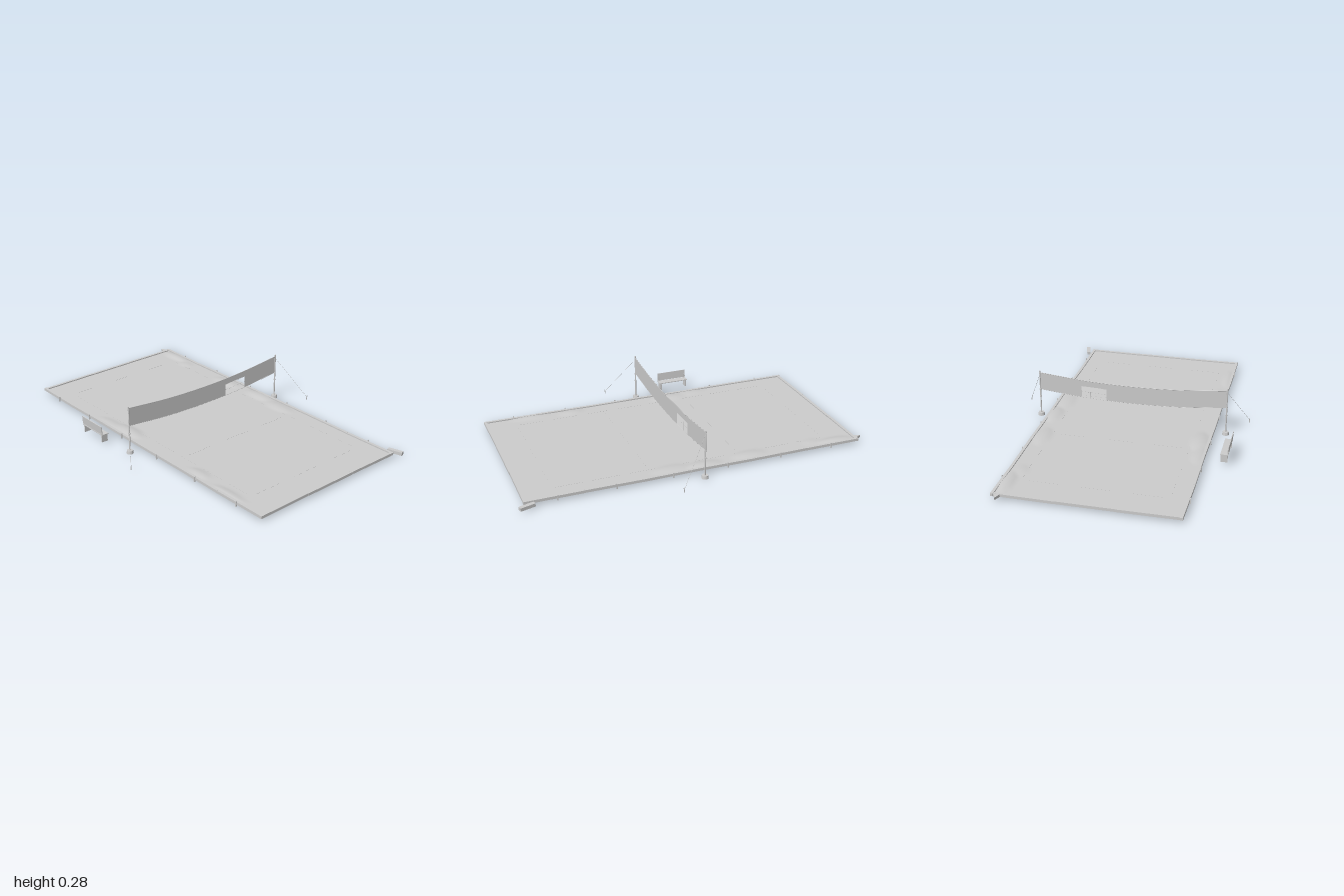
import * as THREE from 'three';

const mat = new THREE.MeshStandardMaterial({ color: 0xcccccc, flatShading: true });
const thin = new THREE.MeshStandardMaterial({ color: 0xcccccc, side: THREE.DoubleSide });
const smooth = new THREE.MeshStandardMaterial({ color: 0xcccccc });

export function createModel() {
  const model = new THREE.Group();

  const add = (name, geo, x = 0, y = 0, z = 0, m = mat, parent = model) => {
    const mesh = new THREE.Mesh(geo, m);
    mesh.name = name;
    mesh.position.set(x, y, z);
    parent.add(mesh);
    return mesh;
  };
  const box = (name, w, h, d, x, y, z, parent) =>
    add(name, new THREE.BoxGeometry(w, h, d), x, y, z, mat, parent);
  const rod = (name, a, b, r, sides = 4) => {
    const curve = new THREE.LineCurve3(new THREE.Vector3(...a), new THREE.Vector3(...b));
    return add(name, new THREE.TubeGeometry(curve, 1, r, sides), 0, 0, 0, thin);
  };

  // Sand bed with drifts along the long edges: x, z, half length, half width, height
  const drifts = [
    [-0.83, -0.45, 0.12, 0.04, 0.010], [-0.70, -0.42, 0.06, 0.04, 0.004],
    [-0.31, -0.43, 0.11, 0.05, 0.008], [-0.03, -0.45, 0.11, 0.05, 0.010],
    [0.15, -0.43, 0.12, 0.05, 0.007], [-0.17, 0.43, 0.12, 0.05, 0.010],
    [-0.32, 0.45, 0.11, 0.04, 0.006], [0.45, 0.44, 0.08, 0.04, 0.007],
    [0.70, 0.46, 0.13, 0.03, 0.007],
  ];
  const sand = new THREE.BoxGeometry(1.91, 0.009, 0.965, 96, 1, 64);
  const pos = sand.attributes.position;
  for (let i = 0; i < pos.count; i++) {
    if (pos.getY(i) < 0) continue;
    let lift = 0;
    for (const [x, z, a, b, h] of drifts) {
      const d = Math.hypot((pos.getX(i) - x) / a, (pos.getZ(i) - z) / b);
      if (d < 1) lift = Math.max(lift, h * (1 - d * d));
    }
    pos.setY(i, pos.getY(i) + lift);
  }
  sand.computeVertexNormals();
  add('sandBed', sand, 0, 0.0205, -0.005, smooth);

  // Border boards, slightly uneven, with pegs outside the long sides
  for (const s of [-1, 1]) {
    const z = -0.005 + s * 0.482;
    for (let i = 0; i < 6; i++) {
      const x = -0.805 + i * 0.322;
      const board = box('sideBoard', 0.324, 0.015, 0.015, x, 0.024, z);
      board.rotation.y = (i % 2 ? 1 : -1) * 0.008;
      board.rotation.z = (i % 3 - 1) * 0.004;
    }
    for (let i = 0; i < 6; i++) {
      box('borderPeg', 0.006, 0.03, 0.006, -0.79 + i * 0.316, 0.022, z + s * 0.010);
    }
    for (let i = 0; i < 3; i++) {
      const board = box('endBoard', 0.015, 0.015, 0.326, s * 0.957, 0.024, -0.329 + i * 0.324);
      board.rotation.y = (i - 1) * 0.01;
    }
  }

  // Loose board and splintered corner piece
  const loose = box('looseBoard', 0.085, 0.018, 0.022, 0.955, 0.022, -0.527);
  loose.rotation.y = 0.28;
  const wedge = new THREE.Shape();
  wedge.moveTo(-1.0, 0.46).lineTo(-0.95, 0.44).lineTo(-0.95, 0.485).closePath();
  const splinter = add('splinter',
    new THREE.ExtrudeGeometry(wedge, { depth: 0.014, bevelEnabled: false }), 0, 0.017, 0);
  splinter.rotation.x = -Math.PI / 2;

  // Court lines, broken where sand covers them
  for (const x of [-0.79, -0.26, 0.26, 0.79]) {
    for (const z of [-0.27, 0, 0.27]) box('crossLine', 0.005, 0.001, 0.16, x, 0.0252, z);
  }
  for (const z of [-0.395, 0.385]) {
    for (let i = 0; i < 8; i++) box('longLine', 0.15, 0.001, 0.005, -0.7 + i * 0.2, 0.0252, z);
  }

  // Posts, footings and guy ropes
  for (const s of [-1, 1]) {
    const z = s * 0.546;
    add('postFooting', new THREE.CylinderGeometry(0.017, 0.02, 0.018, 12), 0, 0.009, z);
    add('netPost', new THREE.CylinderGeometry(0.004, 0.004, 0.265, 10), 0, 0.1475, z, smooth);
    for (const [y, r] of [[0.12, 0.0065], [0.165, 0.0055], [0.27, 0.0055]]) {
      add('postCollar', new THREE.CylinderGeometry(r, r, 0.007, 10), 0, y, z);
    }
    rod('guyRope', [0, 0.26, z], [0.165, 0.025, s * 0.661], 0.0009);
    rod('guyPeg', [0.163, 0.008, s * 0.661], [0.167, 0.036, s * 0.661], 0.0025, 6);
  }

  // Sagging net with a torn opening on the lower edge
  const topY = z => 0.237 + 0.033 * (z / 0.546) ** 2;
  const botY = z => 0.132 + 0.033 * (z / 0.546) ** 2;
  const net = new THREE.Shape();
  const n = 24;
  for (let i = 0; i <= n; i++) {
    const z = -0.546 + (1.092 * i) / n;
    if (i) net.lineTo(z, topY(z));
    else net.moveTo(z, topY(z));
  }
  for (let i = 0; i <= 12; i++) {
    const z = 0.546 - (0.694 * i) / 12;
    net.lineTo(z, botY(z));
  }
  net.lineTo(-0.148, 0.203);
  net.lineTo(-0.20, 0.207);
  net.lineTo(-0.296, 0.21);
  for (let i = 0; i <= 6; i++) {
    const z = -0.296 - (0.25 * i) / 6;
    net.lineTo(z, botY(z));
  }
  add('net', new THREE.ShapeGeometry(net), 0, 0, 0, thin).rotation.y = -Math.PI / 2;

  // Net cords and the strands left in the opening
  const cord = (name, f, r) => {
    const pts = [-0.546, -0.27, 0, 0.27, 0.546].map(z => new THREE.Vector3(0, f(z), z));
    add(name, new THREE.TubeGeometry(new THREE.CatmullRomCurve3(pts), 24, r, 5), 0, 0, 0, thin);
  };
  cord('topCord', topY, 0.002);
  cord('bottomCord', botY, 0.001);
  rod('tornStrand', [0, 0.17, -0.148], [0, 0.178, -0.296], 0.0007);
  rod('tornStrand', [0, 0.138, -0.246], [0, 0.208, -0.246], 0.0007);

  // Bench beside the court
  const bench = new THREE.Group();
  bench.name = 'bench';
  bench.position.set(-0.262, 0, 0.588);
  model.add(bench);
  box('benchSeat', 0.185, 0.005, 0.042, 0, 0.06, 0, bench);
  box('benchBack', 0.185, 0.047, 0.004, 0, 0.089, 0.021, bench).rotation.x = 0.08;
  for (const s of [-1, 1]) {
    box('benchLeg', 0.007, 0.044, 0.038, s * 0.083, 0.037, 0, bench);
    box('backBracket', 0.006, 0.03, 0.003, s * 0.083, 0.072, 0.019, bench);
  }
  return model;
}
